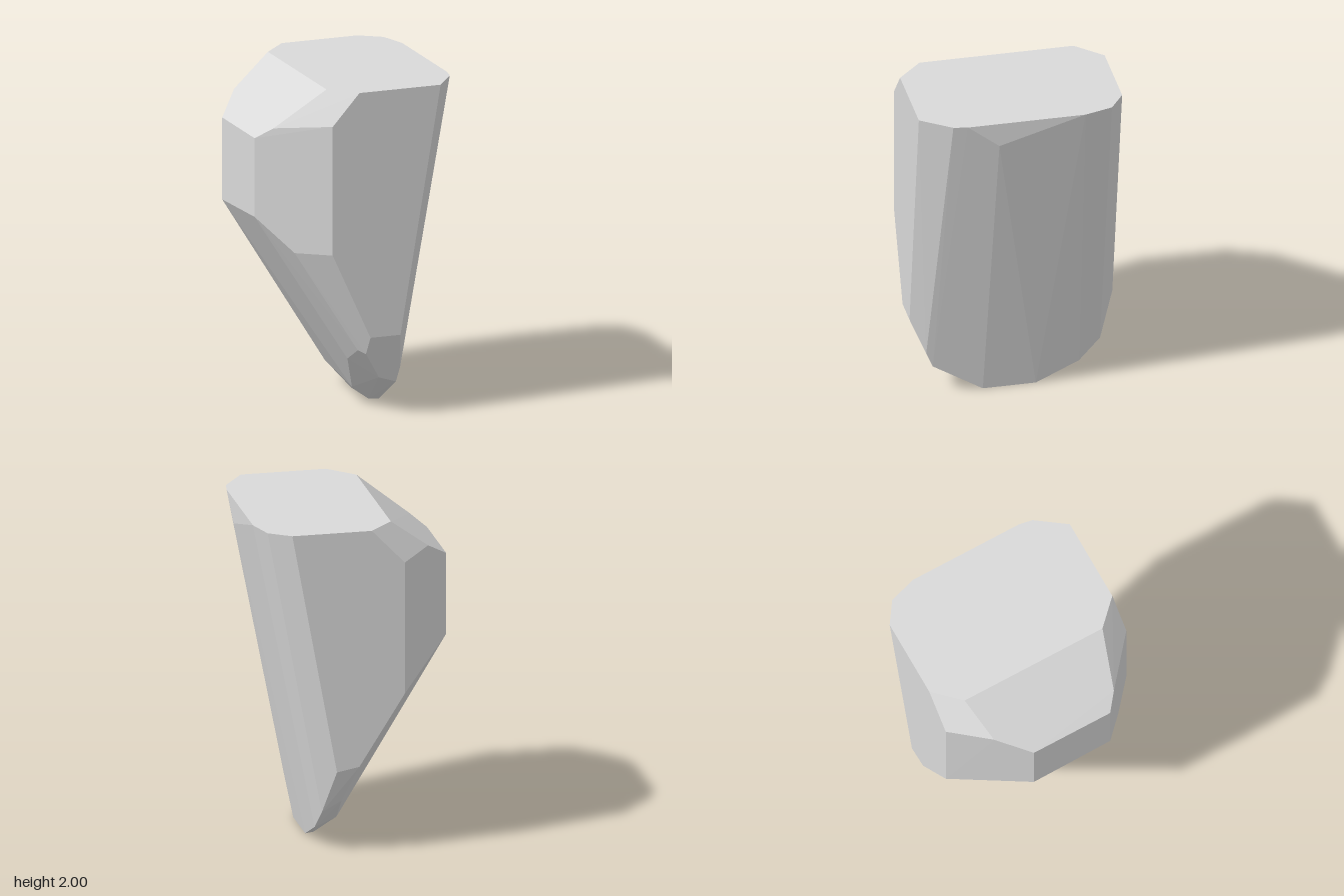
import * as THREE from 'three';
import { ConvexGeometry } from 'three/addons/geometries/ConvexGeometry.js';

export function createModel() {
  const group = new THREE.Group();
  group.name = 'rock';
  const stone = new THREE.MeshStandardMaterial({ color: 0xd9d9d9 });
  stone.name = 'pale grey stone';

  // flat top outline, as [x, z] at y = 2
  const top = [
    [-0.21, 0.465], [-0.06, 0.615], [0.455, 0.615], [0.585, 0.435], [0.6, 0.35],
    [0.6, -0.36], [0.55, -0.53], [0.42, -0.62], [-0.06, -0.62], [-0.21, -0.465],
  ].map(([x, z]) => [x, 2, z]);

  // bevelled shoulder on the right-hand flank and the ridge on the overhang
  const shoulder = [
    [-0.6, 1.7, 0.3], [-0.51, 1.77, 0.375], [-0.23, 1.81, 0.615],
    [-0.6, 1.7, -0.215], [-0.45, 1.815, -0.4], [-0.26, 1.79, -0.62],
    [0.6, 1.85, 0.16],
  ];

  // lower edge of the upright walls
  const waist = [
    [-0.6, 1.22, 0.3], [-0.41, 1.02, 0.46], [-0.23, 1.025, 0.615],
    [0.01, 0.5, 0.615], [0.2, 0.5, 0.615],
    [-0.6, 1.2, -0.215], [-0.26, 0.98, -0.62], [0.015, 0.545, -0.62], [0.15, 0.52, -0.62],
  ];

  // chipped, tapering foot
  const foot = [
    [-0.04, 0.41, 0.537], [0, 0.39, 0.567], [0.11, 0.22, 0.497], [-0.055, 0.33, 0.41],
    [0.235, 0.28, 0.522], [0.225, 0.18, 0.48], [0.05, 0.1, 0.22],
    [0.222, 0.25, -0.53], [0.096, 0.308, -0.506], [0.052, 0.279, -0.392],
    [0.078, 0.138, -0.284], [0.236, 0.12, -0.4],
    [0.18, 0, 0.16], [0.235, 0, 0.18], [0.18, 0, -0.12], [0.235, 0, -0.14],
  ];

  const points = [...top, ...shoulder, ...waist, ...foot].map((p) => new THREE.Vector3(...p));
  const boulder = new THREE.Mesh(new ConvexGeometry(points), stone);
  boulder.name = 'boulder';
  group.add(boulder);
  return group;
}
